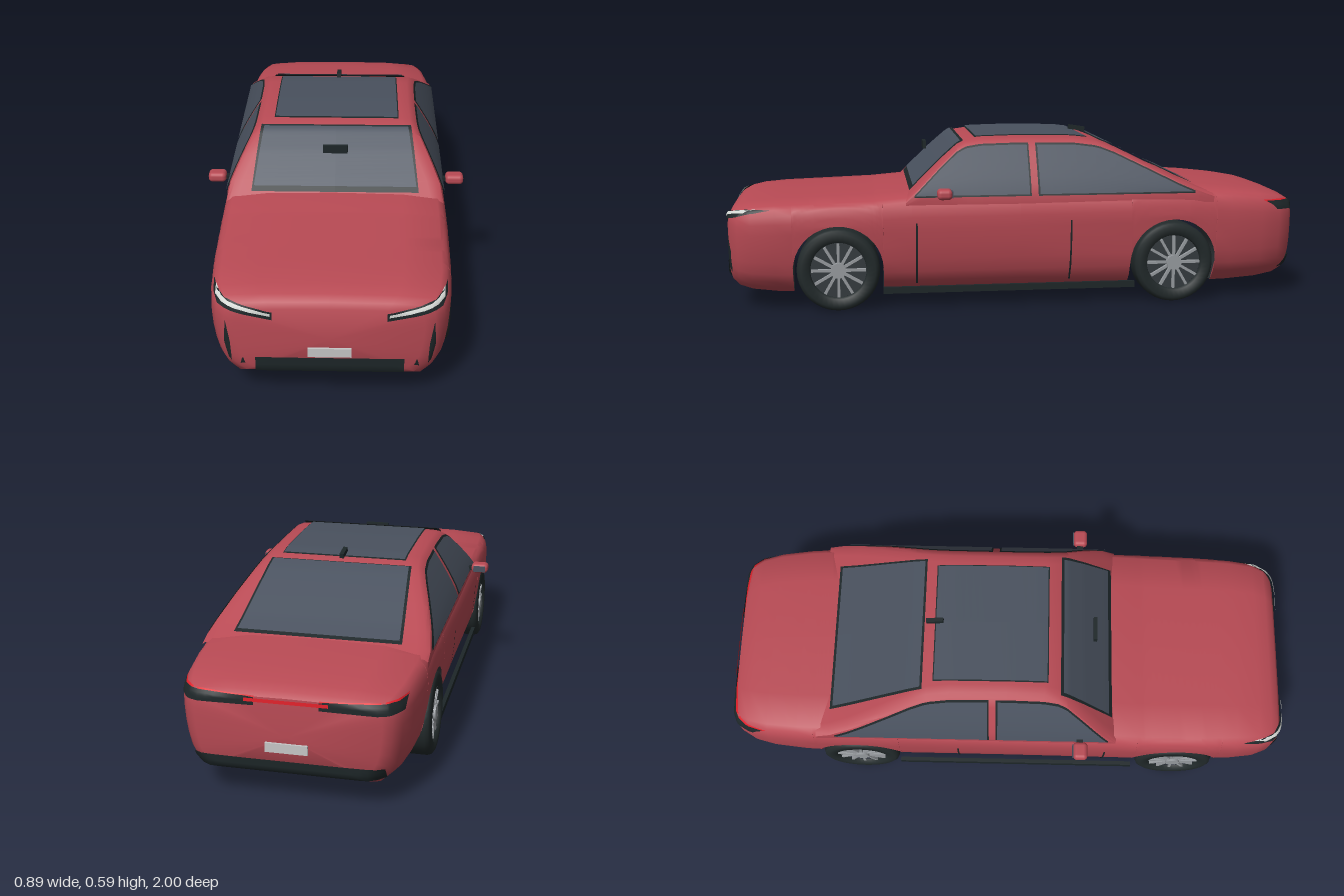
import * as THREE from 'three';
import { toCreasedNormals } from 'three/addons/utils/BufferGeometryUtils.js';
import { RoundedBoxGeometry } from 'three/addons/geometries/RoundedBoxGeometry.js';

const mat = (name, color, side = THREE.FrontSide) => {
  const m = new THREE.MeshStandardMaterial({ color, side });
  m.name = name;
  return m;
};
const DS = THREE.DoubleSide;
const paint = mat('red paint', 0xb84a54);
const black = mat('black trim', 0x1d2628, DS);
const glass = mat('tinted glass', 0x49515e, DS);
const rubber = mat('tyre rubber', 0x222a2b);
const rimDark = mat('dark rim', 0x353b3f);
const silver = mat('silver', 0x989ca0);
const plateMat = mat('plate grey', 0xc6c6c6, DS);
const lamp = mat('headlamp white', 0xd2d6d2, DS);
const tail = mat('tail lamp red', 0xe0202a, DS);

// Piecewise linear lookup in a table sorted by its first column
function lookup(table, t, col = 1) {
  const up = table[0][0] < table[table.length - 1][0] ? 1 : -1;
  for (let i = 1; i < table.length; i++) {
    const [a, b] = [table[i - 1], table[i]];
    if ((b[0] - t) * up >= 0) {
      const k = Math.max(0, (t - a[0]) / (b[0] - a[0]));
      return a[col] + (b[col] - a[col]) * k;
    }
  }
  return table[table.length - 1][col];
}

// Grid of points to geometry; pick(i, j) selects cells
function gridGeometry(rows, pick = () => true) {
  const n = rows[0].length, idx = [];
  for (let i = 0; i < rows.length - 1; i++) for (let j = 0; j < n - 1; j++) {
    if (!pick(i, j)) continue;
    const a = i * n + j, b = a + n;
    idx.push(a, b, a + 1, b, b + 1, a + 1);
  }
  const g = new THREE.BufferGeometry();
  g.setAttribute('position', new THREE.Float32BufferAttribute(rows.flat(2), 3));
  g.setIndex(idx);
  g.computeVertexNormals();
  return g;
}
const mirrored = half => [...half, ...half.slice(0, -1).reverse().map(([x, y, z]) => [-x, y, z])];

// Lower body stations: z, half width, shoulder height, underside height
const STATIONS = [
  [0.995, 0, 0.22, 0.22], [0.99, 0.285, 0.315, 0.115], [0.98, 0.318, 0.333, 0.098], [0.955, 0.345, 0.345, 0.08],
  [0.91, 0.363, 0.354, 0.068], [0.83, 0.373, 0.36, 0.06], [0.7, 0.379, 0.364, 0.056], [0.5, 0.382, 0.371, 0.055],
  [0.37, 0.382, 0.382, 0.055], [0, 0.38, 0.385, 0.055], [-0.4, 0.38, 0.39, 0.055], [-0.6, 0.378, 0.39, 0.057],
  [-0.75, 0.372, 0.38, 0.06], [-0.86, 0.36, 0.369, 0.066], [-0.93, 0.342, 0.358, 0.076], [-0.97, 0.318, 0.347, 0.092],
  [-0.987, 0.29, 0.333, 0.11], [-0.994, 0, 0.22, 0.22]];
const SIDE = [[0, 0.8], [0.08, 0.87], [0.15, 0.92], [0.3, 0.96], [0.5, 0.985], [0.75, 1], [0.87, 0.99], [0.95, 0.965], [1, 0.91]];
const AXLES = [0.62, -0.54], ARCH = 0.152, AXLE_Y = 0.14;

function archHeight(z) {
  const c = AXLES.find(a => Math.abs(z - a) <= ARCH + 1e-5);
  return c === undefined ? 0 : AXLE_Y + Math.sqrt(Math.max(0, ARCH ** 2 - (z - c) ** 2));
}
function bodySection(z) {
  const [w, yt, yb] = [1, 2, 3].map(c => lookup(STATIONS, z, c));
  const arch = archHeight(z), y0 = Math.max(yb, arch), h = yt - yb;
  const half = [[0, yb], [0.5 * w, yb], [0.72 * w, yb], [0.72 * w, y0]];
  for (const f of [0, 0.05, 0.12, 0.22, 0.36, 0.52, 0.68, 0.8, 0.89, 0.96, 1]) {
    const y = y0 + (yt - y0) * f;
    half.push([w * lookup(SIDE, h > 0 ? (y - yb) / h : 0), y]);
  }
  half.push([0.6 * w, yt + 0.03 * h], [0, yt + 0.04 * h]);
  return mirrored(half.map(([x, y]) => [x, y, z]));
}

// Cabin roof line (z, y) and side lean
const ROOF = [[0.39, 0.375], [0.34, 0.425], [0.27, 0.493], [0.21, 0.545], [0.18, 0.56], [0.13, 0.568], [0, 0.571], [-0.2, 0.568],
  [-0.28, 0.558], [-0.34, 0.535], [-0.45, 0.482], [-0.56, 0.428], [-0.63, 0.398], [-0.68, 0.38]];
const roofY = z => lookup(ROOF, z);
const cabinX = y => 0.37 - 0.102 * Math.max(0, (y - 0.385) / 0.185) ** 1.2;

function cabinSection(z) {
  const t = roofY(z), half = [];
  for (let i = 0; i <= 6; i++) {
    const y = 0.35 + (t - 0.01 - 0.35) * i / 6;
    half.push([cabinX(y), y, z]);
  }
  half.push([cabinX(t) - 0.012, t - 0.002, z], [cabinX(t) - 0.04, t + 0.001, z], [0, t + 0.004, z]);
  return mirrored(half);
}

export function createModel() {
  const car = new THREE.Group();
  car.name = 'car';
  const add = (name, geo, m, parent = car) => {
    const mesh = new THREE.Mesh(geo, m);
    mesh.name = name;
    parent.add(mesh);
    return mesh;
  };
  const box = (name, m, w, h, d, x, y, z, parent = car) => {
    const b = add(name, new THREE.BoxGeometry(w, h, d), m, parent);
    b.position.set(x, y, z);
    return b;
  };

  // Lower body with open wheel arches
  const zs = STATIONS.map(s => s[0]);
  for (const c of AXLES) {
    zs.push(c + ARCH + 0.0005, c - ARCH - 0.0005);
    for (let i = 0; i <= 18; i++) zs.push(c + ARCH * Math.cos(i * Math.PI / 18));
  }
  zs.sort((a, b) => b - a);
  const rows = zs.map(bodySection);
  const isWell = (i, j) => (j === 3 || j === 28) && archHeight(zs[i]) + archHeight(zs[i + 1]) > 0;
  const isGap = j => j === 2 || j === 29;
  const body = add('body', toCreasedNormals(gridGeometry(rows, (i, j) => !isGap(j) && !isWell(i, j)), 0.7), paint);
  add('wheelWells', toCreasedNormals(gridGeometry(rows, isWell), 0.7), rimDark);

  // Cabin shell
  add('cabin', toCreasedNormals(gridGeometry(ROOF.map(r => cabinSection(r[0]))), 0.7), paint);

  // Side glass with black surrounds, following the cabin sides
  function sidePane(name, m, s, z0, z1, low, gap, lift) {
    const out = [];
    for (let i = 0; i <= 24; i++) {
      const z = z0 + (z1 - z0) * i / 24, top = Math.max(low, roofY(z) - gap), row = [];
      for (let j = 0; j <= 6; j++) {
        const y = low + (top - low) * j / 6;
        row.push([s * (cabinX(y) + lift), y, z]);
      }
      out.push(s > 0 ? row : row.reverse());
    }
    add(name, gridGeometry(out), m);
  }
  for (const s of [1, -1]) for (const [n, a, b] of [['front', 0.355, -0.032], ['rear', -0.068, -0.605]]) {
    sidePane(n + 'WindowSurround', black, s, a + 0.006, b - 0.006, 0.383, 0.014, 0.003);
    sidePane(n + 'SideWindow', glass, s, a, b, 0.389, 0.02, 0.006);
  }

  // Panes lying along the roof line
  function topPane(name, m, z0, z1, w0, w1, lift) {
    const out = [];
    for (let i = 0; i <= 16; i++) {
      const k = i / 16, z = z0 + (z1 - z0) * k, w = w0 + (w1 - w0) * k;
      out.push([1, 0, -1].map(f => [f * w, roofY(z) + lift, z]));
    }
    add(name, gridGeometry(out), m);
  }
  topPane('windscreenSurround', black, 0.375, 0.186, 0.285, 0.26, 0.008);
  topPane('windscreen', glass, 0.363, 0.196, 0.277, 0.25, 0.012);
  topPane('rearWindowSurround', black, -0.295, -0.632, 0.245, 0.278, 0.007);
  topPane('rearWindow', glass, -0.303, -0.622, 0.237, 0.268, 0.011);
  topPane('roofGlassSurround', black, 0.143, -0.258, 0.218, 0.218, 0.006);
  topPane('roofGlass', glass, 0.139, -0.254, 0.214, 0.214, 0.009);

  // Thin details projected onto the body. Pairs: edge A (u, v), edge B (u, v)
  const ray = new THREE.Raycaster();
  function project(axis, s, u, v) {
    for (let k = 0; k < 30; k++, v -= 0.003) {
      const o = axis === 'z' ? [u, v, 2 * s] : [2 * s, v, u];
      const d = axis === 'z' ? [0, 0, -s] : [-s, 0, 0];
      ray.set(new THREE.Vector3(...o), new THREE.Vector3(...d));
      const hit = ray.intersectObject(body)[0];
      if (hit) return hit.point.addScaledVector(hit.face.normal, 0.003).addScaledVector(ray.ray.direction, -0.002).toArray();
    }
    return axis === 'z' ? [u, v, 0.9 * s] : [0.37 * s, v, u];
  }
  function decal(name, m, axis, s, pairs, lift = 0, n = 8) {
    const out = [], mix = (a, b, k) => a + (b - a) * k;
    for (let p = 0; p < pairs.length - 1; p++) for (let i = p ? 1 : 0; i <= n; i++) {
      const q = pairs[p].map((a, c) => mix(a, pairs[p + 1][c], i / n));
      out.push([0, 0.25, 0.5, 0.75, 1].map(k => {
        const pt = project(axis, s, mix(q[0], q[2], k), mix(q[1], q[3], k));
        pt[axis === 'z' ? 2 : 0] += lift * s;
        return pt;
      }));
    }
    const facing = pairs[0][0] < pairs[pairs.length - 1][0] ? 1 : -1;
    add(name, gridGeometry(s * facing * (axis === 'z' ? 1 : -1) > 0 ? out.map(r => r.reverse()) : out), m);
  }
  const rect = (u0, u1, v0, v1) => [[u0, v1, u0, v0], [u1, v1, u1, v0]];

  decal('lowerGrille', black, 'z', 1, rect(-0.225, 0.225, 0.103, 0.156), 0.002, 20);
  box('frontPlate', plateMat, 0.132, 0.03, 0.008, 0, 0.175, 0.997);
  decal('rearBumperTrim', black, 'z', -1, rect(-0.295, 0.295, 0.1, 0.142), 0.002, 24);
  box('rearPlate', plateMat, 0.132, 0.03, 0.008, 0, 0.185, -0.996);
  decal('tailLampBar', tail, 'z', -1, rect(-0.13, 0.13, 0.327, 0.338), 0.003, 12);
  for (const s of [1, -1]) {
    const m = list => list.map(([a, b, c, d]) => [a * s, b, c * s, d]);
    decal('headlampHousing', black, 'z', 1, m([[0.172, 0.313, 0.172, 0.287], [0.335, 0.347, 0.335, 0.322], [0.355, 0.346, 0.352, 0.336]]));
    decal('headlampStrip', lamp, 'z', 1, m([[0.178, 0.311, 0.178, 0.302], [0.345, 0.348, 0.343, 0.337]]), 0.005);
    decal('frontDuct', black, 'z', 1, m([[0.313, 0.278, 0.312, 0.278], [0.318, 0.205, 0.3, 0.205], [0.306, 0.145, 0.296, 0.13]]));
    decal('bumperNotch', black, 'z', 1, m([[0.264, 0.152, 0.262, 0.152], [0.27, 0.128, 0.254, 0.132]]));
    decal('tailLampHousing', black, 'z', -1, m([[0.1, 0.34, 0.1, 0.315], [0.3, 0.344, 0.3, 0.313], [0.345, 0.345, 0.342, 0.315]]));
    decal('tailLamp', tail, 'z', -1, m([[0.1, 0.341, 0.1, 0.327], [0.3, 0.347, 0.3, 0.33], [0.345, 0.349, 0.343, 0.334]]), -0.004);
    for (const z of [0.355, -0.175]) decal('doorLine', black, 'x', s, rect(z - 0.003, z + 0.003, 0.085, 0.298), 0, 1);

    // Sill strip and door mirror
    box('sill', black, 0.014, 0.022, 0.87, s * 0.368, 0.067, 0.035);
    box('mirrorStalk', black, 0.035, 0.012, 0.022, s * 0.375, 0.397, 0.26);
    add('mirrorShell', new RoundedBoxGeometry(0.062, 0.035, 0.05, 3, 0.014), paint).position.set(s * 0.412, 0.4, 0.262);
    box('mirrorGlass', glass, 0.045, 0.022, 0.004, s * 0.412, 0.4, 0.236);
  }

  // Roof antenna and cabin mirror
  box('antenna', black, 0.015, 0.016, 0.06, 0, 0.581, -0.258).rotation.x = -0.15;
  box('cabinMirror', black, 0.084, 0.027, 0.012, 0, 0.528, 0.308);

  // Wheels: axis along x, outer face towards +x
  const tyre = new THREE.LatheGeometry([[0.094, -0.047], [0.125, -0.047], [0.136, -0.04], [0.14, -0.028], [0.14, 0.028], [0.136, 0.04],
    [0.125, 0.047], [0.098, 0.047], [0.094, 0.03]].map(p => new THREE.Vector2(...p)), 40);
  for (const z of AXLES) for (const s of [1, -1]) {
    const wheel = new THREE.Group();
    wheel.name = 'wheel';
    wheel.position.set(s * 0.333, AXLE_Y, z);
    wheel.rotation.y = s > 0 ? 0 : Math.PI;
    car.add(wheel);
    const disc = (name, r, len, x, m) => {
      const d = add(name, new THREE.CylinderGeometry(r, r, len, 32), m, wheel);
      d.rotation.z = -Math.PI / 2;
      d.position.x = x;
    };
    add('tyre', tyre, rubber, wheel).rotation.z = -Math.PI / 2;
    disc('rim', 0.095, 0.07, -0.008, rimDark);
    disc('hub', 0.026, 0.02, 0.036, silver);
    for (let i = 0; i < 12; i++) {
      const spoke = new THREE.Group();
      spoke.name = 'spoke';
      spoke.rotation.x = i * Math.PI / 6;
      wheel.add(spoke);
      box('spokeBar', silver, 0.014, 0.072, 0.009, 0.032, 0.056, 0, spoke);
    }
  }
  return car;
}
